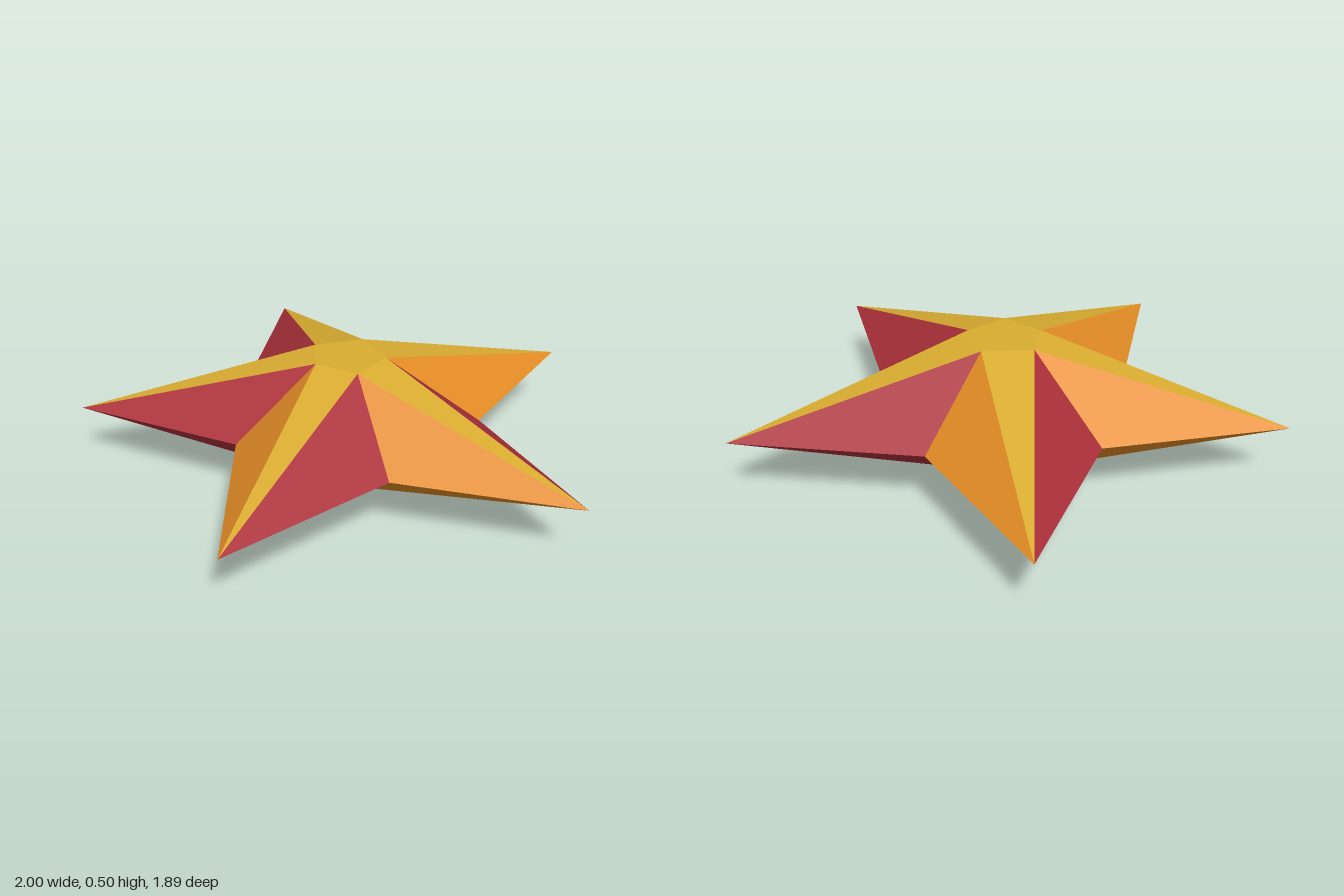
import * as THREE from 'three';

// Outline points as [x, z], counterclockwise from the front point
const TIPS = [[-0.02, 0.945], [1.0, 0.193], [0.573, -0.945], [-0.698, -0.888], [-1.0, 0.295]];
const VALLEYS = [[0.313, 0.307], [0.466, -0.246], [-0.052, -0.61], [-0.522, -0.213], [-0.308, 0.298]];
const CAP = [[0.07, 0.028], [0.118, -0.136], [-0.028, -0.25], [-0.178, -0.13], [-0.106, 0.02]];
const MID = 0.25, HALF = 0.25;

const gold = new THREE.MeshStandardMaterial({ name: 'gold', color: 0xdaad31 });
const orange = new THREE.MeshStandardMaterial({ name: 'orange', color: 0xe28b25 });
const red = new THREE.MeshStandardMaterial({ name: 'red', color: 0xab303a });

// Flat facets from corner triples; the lower half is mirrored and rewound
function facets(name, material, triangles, side) {
  const pos = [];
  for (const tri of triangles) {
    const corners = side > 0 ? tri : [...tri].reverse();
    for (const [[x, z], lift] of corners) pos.push(x, MID + side * lift, z);
  }
  const geo = new THREE.BufferGeometry();
  geo.setAttribute('position', new THREE.Float32BufferAttribute(pos, 3));
  geo.computeVertexNormals();
  const mesh = new THREE.Mesh(geo, material);
  mesh.name = name;
  return mesh;
}

export function createModel() {
  const star = new THREE.Group();
  star.name = 'star';
  const edge = (p) => [p, 0];
  const high = (p) => [p, HALF];

  for (const [label, side] of [['upper', 1], ['lower', -1]]) {
    const half = new THREE.Group();
    half.name = label + 'Half';

    // Five arms, each with a red flank, an orange flank and a gold ridge
    TIPS.forEach((tip, i) => {
      const j = (i + 4) % 5;
      const arm = new THREE.Group();
      arm.name = label + 'Arm' + (i + 1);
      arm.add(
        facets('redFlank', red, [[edge(tip), edge(VALLEYS[i]), high(CAP[i])]], side),
        facets('orangeFlank', orange, [[edge(tip), high(CAP[j]), edge(VALLEYS[j])]], side),
        facets('goldRidge', gold, [[edge(tip), high(CAP[i]), high(CAP[j])]], side),
      );
      half.add(arm);
    });

    // Flat pentagon in the middle
    const fan = [1, 2, 3].map((i) => [high(CAP[0]), high(CAP[i]), high(CAP[i + 1])]);
    half.add(facets('centerCap', gold, fan, side));
    star.add(half);
  }
  return star;
}
